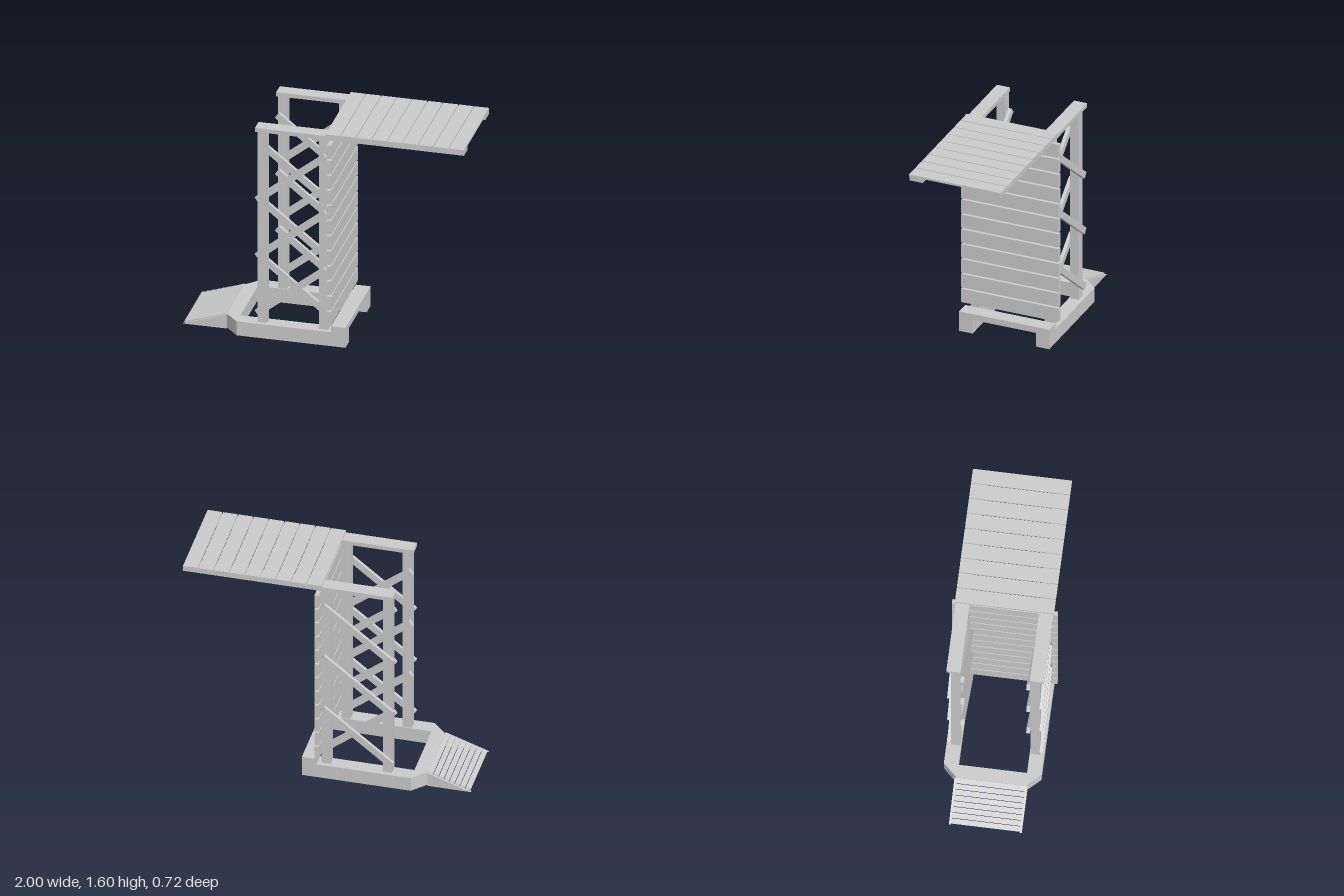
import * as THREE from 'three';

export function createModel() {
  const model = new THREE.Group();
  const mat = new THREE.MeshStandardMaterial({ color: 0xcccccc, flatShading: true });

  const add = (name, geometry) => {
    const mesh = new THREE.Mesh(geometry, mat);
    mesh.name = name;
    model.add(mesh);
    return mesh;
  };
  // Box given by its minimum and maximum on each axis
  const box = (name, x0, x1, y0, y1, z0, z1) => {
    const m = add(name, new THREE.BoxGeometry(x1 - x0, y1 - y0, z1 - z0));
    m.position.set((x0 + x1) / 2, (y0 + y1) / 2, (z0 + z1) / 2);
    return m;
  };
  // Box repeated on both z sides
  const pair = (name, x0, x1, y0, y1, z0, z1) => {
    box(name, x0, x1, y0, y1, z0, z1);
    box(name, x0, x1, y0, y1, -z1, -z0);
  };

  // U-shaped base with chamfered corners at the ramp end
  const outline = [
    [0.165, 0.335], [-0.6, 0.335], [-0.695, 0.235], [-0.695, -0.235], [-0.6, -0.335],
    [0.165, -0.335], [0.165, -0.235], [-0.6, -0.235], [-0.6, 0.235], [0.165, 0.235],
  ].map(([x, z]) => new THREE.Vector2(x, z));
  const base = new THREE.ExtrudeGeometry(new THREE.Shape(outline), { depth: 0.105, bevelEnabled: false });
  base.rotateX(-Math.PI / 2);
  add('baseFrame', base);
  box('baseCrossbar', 0.062, 0.165, 0.105, 0.15, -0.335, 0.335);

  // Ramp: triangular side plates and overlapping treads
  const wedge = new THREE.Shape([[-1, 0], [-0.695, 0], [-0.695, 0.105]].map(([x, y]) => new THREE.Vector2(x, y)));
  for (const z of [0.236, -0.25]) {
    const side = add('rampSide', new THREE.ExtrudeGeometry(wedge, { depth: 0.014, bevelEnabled: false }));
    side.position.z = z;
  }
  const treads = 8, pitch = 0.3 / treads;
  for (let i = 0; i < treads; i++) {
    const tread = add('rampTread', new THREE.BoxGeometry(0.036, 0.008, 0.472));
    tread.position.set(-0.995 + pitch * (i + 0.5), 0.006 + 0.0125 * (i + 0.5), 0);
    tread.rotation.z = 0.24;
  }

  // Four posts
  for (const x of [-0.46, -0.03]) pair('post', x, x + 0.064, 0.105, 1.555, 0.24, 0.305);

  // Crossed braces: one outside and one inside the posts
  for (const side of [1, -1]) {
    for (let i = 0; i < 3; i++) {
      for (const [z, angle] of [[0.317, 0.673], [0.2255, -0.673]]) {
        const brace = add('crossBrace', new THREE.BoxGeometry(0.62, 0.047, 0.025));
        brace.position.set(-0.218, 0.374 + 0.427 * i, side * z);
        brace.rotation.z = angle;
      }
    }
  }

  // Upright wall of horizontal boards
  for (let i = 0; i < 12; i++) {
    const y = 0.17 + 0.1143 * i;
    box('wallBoard', 0.04, 0.07, y, y + 0.102, -0.362, 0.362);
  }

  // Long top rails and the overhanging roof deck
  pair('topRail', -0.472, 0.998, 1.555, 1.585, 0.238, 0.335);
  for (let i = 0; i < 9; i++) {
    const x = 0.026 + 0.1087 * i;
    box('roofBoard', x, x + 0.1023, 1.585, 1.6, -0.34, 0.34);
  }
  return model;
}
